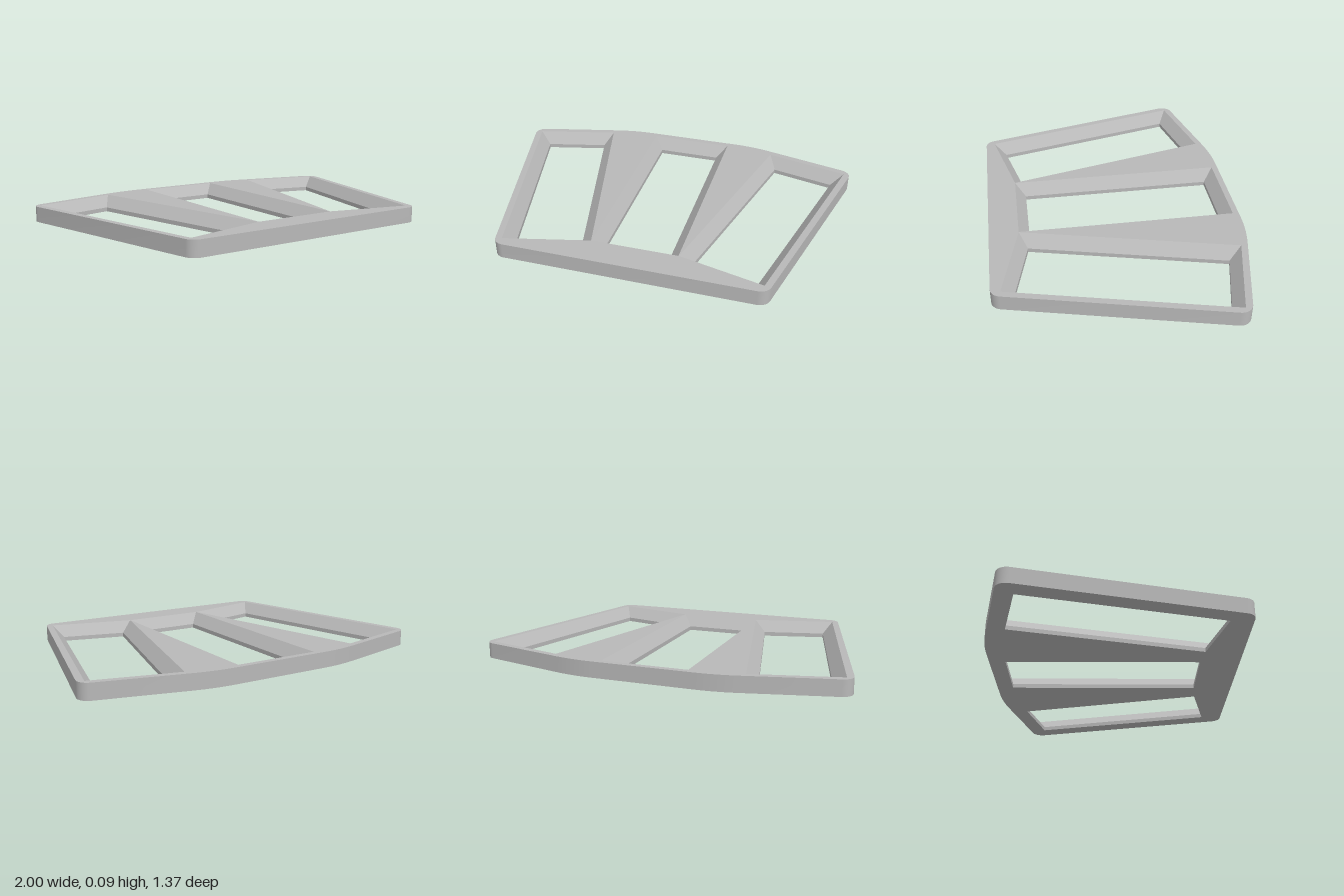
import * as THREE from 'three';
import { mergeGeometries, toCreasedNormals } from 'three/addons/utils/BufferGeometryUtils.js';

const HEIGHT = 0.085, LIP = 0.023, BEVEL = 0.057;
const WIDTH = 0.468, LENGTH = 1.18, FRONT = 0.525, FAN = 0.237;

// Plan coordinates are (x, -z). Round each corner [x, y, radius] of a loop.
function roundedLoop(corners) {
  const out = [], n = corners.length;
  corners.forEach(([x, y, r], i) => {
    const p = new THREE.Vector2(x, y);
    const dir = (c) => new THREE.Vector2(c[0], c[1]).sub(p).normalize();
    const a = dir(corners[(i + n - 1) % n]), b = dir(corners[(i + 1) % n]);
    const half = Math.acos(a.dot(b)) / 2;
    const centre = a.clone().add(b).normalize().multiplyScalar(r / Math.sin(half)).add(p);
    const start = a.clone().multiplyScalar(r / Math.tan(half)).add(p).sub(centre);
    const turn = Math.PI - 2 * half;
    for (let k = 0; k <= 10; k++) {
      out.push(start.clone().rotateAround(new THREE.Vector2(), turn * k / 10).add(centre));
    }
  });
  return out;
}

// Clockwise rectangular opening; side -1, 0 or 1 picks its place in the fan
function opening(side, inset) {
  const x0 = side === 0 ? -WIDTH / 2 : side > 0 ? 0 : -WIDTH;
  const l = x0 + inset, r = x0 + WIDTH - inset, f = inset, b = LENGTH - inset;
  const pivot = new THREE.Vector2(side * (WIDTH / 2 + 0.002), -FRONT);
  return [[l, f], [l, b], [r, b], [r, f]].map(([x, y]) =>
    new THREE.Vector2(x, y).rotateAround(new THREE.Vector2(), -side * FAN).add(pivot));
}

// Wall between two matching loops
function wall(low, y0, high, y1) {
  const pos = [];
  low.forEach((a, i) => {
    const j = (i + 1) % low.length, b = low[j], c = high[j], d = high[i];
    const A = [a.x, y0, -a.y], B = [b.x, y0, -b.y], C = [c.x, y1, -c.y], D = [d.x, y1, -d.y];
    pos.push(...A, ...B, ...C, ...A, ...C, ...D);
  });
  const g = new THREE.BufferGeometry();
  g.setAttribute('position', new THREE.Float32BufferAttribute(pos, 3));
  return g;
}

// Flat face with openings, facing up or down
function cap(outline, holes, y, down) {
  const shape = new THREE.Shape(outline);
  shape.holes = holes.map((h) => new THREE.Path(h));
  const g = new THREE.ShapeGeometry(shape);
  if (down) g.index.array.reverse();
  g.rotateX(-Math.PI / 2).translate(0, y, 0);
  const flat = g.toNonIndexed();
  flat.deleteAttribute('uv');
  flat.deleteAttribute('normal');
  return flat;
}

export function createModel() {
  const group = new THREE.Group();
  const grey = new THREE.MeshStandardMaterial({ color: 0xb8b8b8 });
  grey.name = 'grey';
  const add = (name, geometries) => {
    const g = mergeGeometries(geometries);
    g.computeVertexNormals();
    const mesh = new THREE.Mesh(toCreasedNormals(g, 0.4), grey);
    mesh.name = name;
    group.add(mesh);
  };

  // Outer outline, mirrored about x = 0
  const half = [[0.714, -0.685, 0.06], [1.012, 0.538, 0.06], [0.385, 0.688, 0.95]];
  const mirrored = half.map(([x, y, r]) => [-x, y, r]).reverse();
  const outline = roundedLoop([...half, ...mirrored]);

  const sides = [-1, 0, 1];
  const wide = sides.map((s) => opening(s, 0));
  const narrow = sides.map((s) => opening(s, BEVEL));

  add('frame', [
    cap(outline, wide, HEIGHT, false),
    cap(outline, narrow, 0, true),
    wall(outline, 0, outline, HEIGHT),
  ]);

  // Sloped reveal and upright lip of each opening
  ['rightOpening', 'centreOpening', 'leftOpening'].forEach((name, i) => {
    add(name, [
      wall(narrow[i], 0, narrow[i], LIP),
      wall(narrow[i], LIP, wide[i], HEIGHT),
    ]);
  });
  return group;
}
